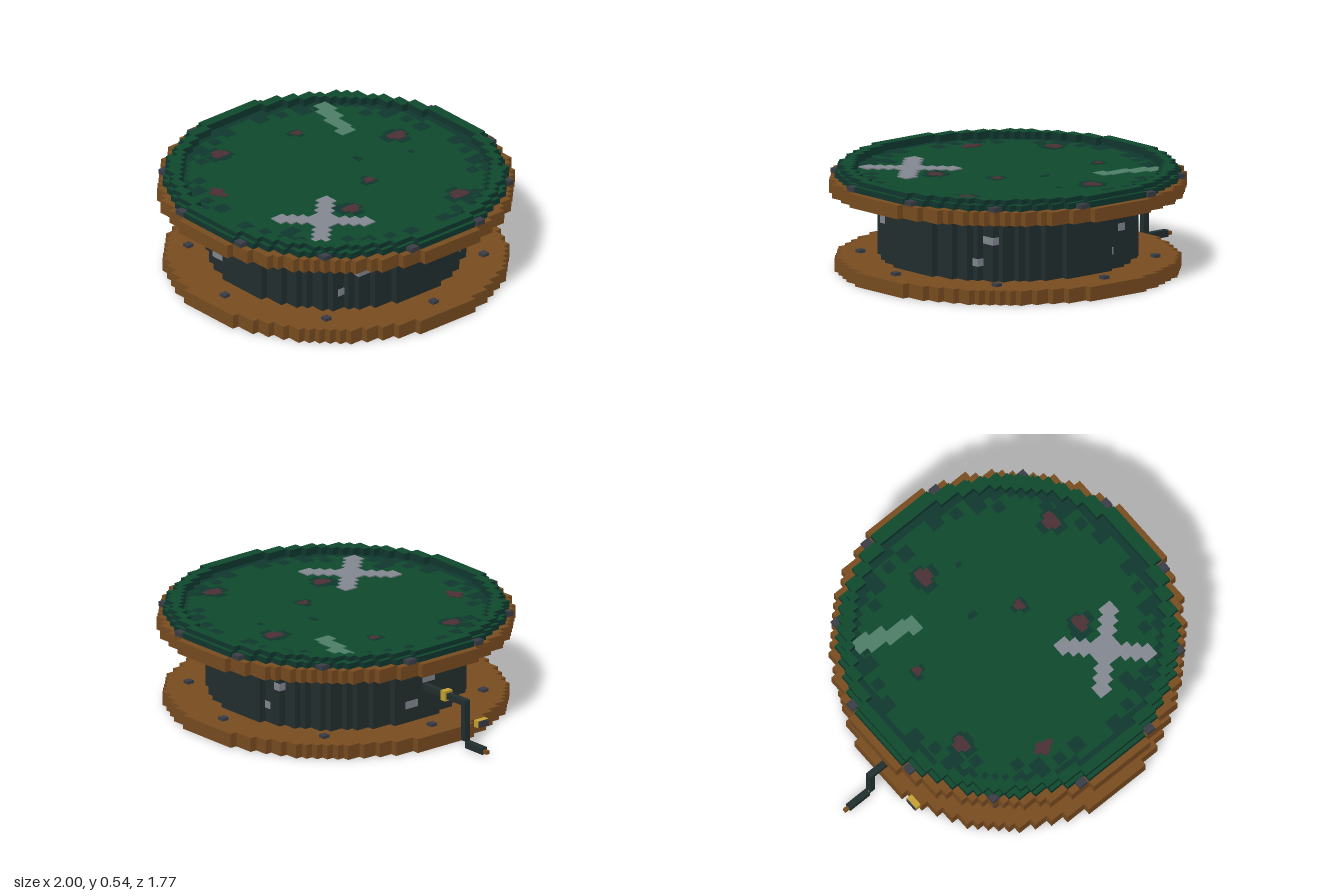
import * as THREE from 'three';
import { mergeGeometries } from 'three/addons/utils/BufferGeometryUtils.js';

const V = 0.0369;   // cell size of the stepped outlines
const CX = 0.115;   // the drum stands off-centre because of the crank

function material(name, color) {
  const m = new THREE.MeshStandardMaterial({ color });
  m.name = name;
  return m;
}

// Stepped circle of n cells radius, as outline points
function steppedCircle(n, cell) {
  const quarter = [];
  for (let j = 0; j < n; j++) {
    const w = Math.floor(Math.sqrt(n * n - (j + 0.5) ** 2) + 0.5);
    quarter.push([w, j], [w, j + 1]);
  }
  const back = [...quarter].reverse();
  const raw = [
    ...quarter,
    ...back.map(([x, y]) => [-x, y]),
    ...quarter.map(([x, y]) => [-x, -y]),
    ...back.map(([x, y]) => [x, -y]),
  ];
  return raw
    .filter((p, i) => i === 0 || p[0] !== raw[i - 1][0] || p[1] !== raw[i - 1][1])
    .filter((p, i, a) => {
      const q = a[(i + a.length - 1) % a.length], r = a[(i + 1) % a.length];
      return !((p[0] === q[0] && p[0] === r[0]) || (p[1] === q[1] && p[1] === r[1]));
    })
    .map(([x, y]) => new THREE.Vector2(x * cell, y * cell));
}

export function createModel() {
  const root = new THREE.Group();
  root.name = 'crankDrum';

  const wood = material('brown wood', 0x7a4d20);
  const green = material('green felt', 0x0f4a2d);
  const teal = material('dark teal', 0x10382f);
  const iron = material('dark iron', 0x232f2f);
  const grey = material('pale grey', 0x858992);
  const red = material('dull red', 0x4b3135);
  const bolt = material('bolt grey', 0x3b3e47);
  const gold = material('gold', 0xc9a233);
  const streak = material('pale green', 0x4f8069);

  function add(name, geometry, mat) {
    const mesh = new THREE.Mesh(geometry, mat);
    mesh.name = name;
    root.add(mesh);
    return mesh;
  }

  // Stepped disc or ring between two heights
  function disc(name, n, y0, y1, mat, { cell = V, hole = 0 } = {}) {
    const shape = new THREE.Shape(steppedCircle(n, cell));
    if (hole) shape.holes.push(new THREE.Path(steppedCircle(hole, V)));
    const g = new THREE.ExtrudeGeometry(shape, { depth: y1 - y0, bevelEnabled: false });
    g.rotateX(-Math.PI / 2).translate(CX, y0, 0);
    return add(name, g, mat);
  }

  const boxGeo = (x, y, z, w, h, d) => new THREE.BoxGeometry(w, h, d).translate(x, y, z);
  const box = (name, mat, ...dims) => add(name, boxGeo(...dims), mat);

  // Flat painted rectangles [x, z, width, depth] on the drum skin
  const paint = (name, mat, top, rects) =>
    add(name, mergeGeometries(rects.map(([x, z, w, d]) => boxGeo(x, top - 0.003, z, w, 0.006, d))), mat);

  // Main stack
  disc('basePlate', 23, 0, 0.073, wood);
  disc('drumBody', 17, 0.073, 0.41, iron);
  disc('topPlate', 24, 0.41, 0.48, wood);
  disc('lowerRim', 23, 0.48, 0.51, [green, teal], { hole: 21 });
  disc('upperRim', 22, 0.51, 0.535, [green, teal], { hole: 21, cell: V * 22.45 / 22 });
  disc('skinBorder', 21, 0.48, 0.497, teal);
  disc('skin', 20, 0.497, 0.5, green);

  // Ragged dark edge of the skin
  const ragged = [];
  for (let i = 0; i < 40; i++) {
    const a = (i / 40) * Math.PI * 2;
    const r = 0.715 - 0.012 * (i % 3);
    const s = 0.055 + 0.018 * (i % 2);
    if (i % 5 !== 0) {
      ragged.push([CX + Math.round(r * Math.cos(a) / V) * V, Math.round(r * Math.sin(a) / V) * V, s, s]);
    }
  }
  paint('raggedEdge', teal, 0.501, ragged);

  // Stains: red spots on dark blots
  const stains = [
    [0, -0.51, 0.075], [0.67, -0.33, 0.075], [-0.35, -0.15, 0.04], [0.26, -0.09, 0.045],
    [0.44, 0.18, 0.07], [-0.44, 0.29, 0.07], [-0.13, 0.57, 0.06],
  ];
  const blots = [[0.17, -0.45, 0.03, 0.025], [0.05, -0.2, 0.05, 0.03], [0.42, 0.57, 0.06, 0.09], [0.39, 0.22, 0.06, 0.06]];
  const spots = [];
  stains.forEach(([x, z, s], i) => {
    const k = i % 2 ? 1 : -1;
    spots.push([x, z, s, s * 0.8], [x + 0.01 * k, z, s * 0.6, s * 1.3]);
    if (i < 6) blots.push([x, z, s * 1.9, s * 0.9], [x + 0.015 * k, z + 0.01, s, s * 1.9]);
  });
  spots.push([-0.13, 0.565, 0.11, 0.03]);
  paint('darkBlots', teal, 0.502, blots);
  paint('redSpots', red, 0.504, spots);

  // Pale scuff and crossed repair patch
  paint('scuff', streak, 0.503, [
    [-0.465, -0.44, 0.1, 0.075], [-0.4, -0.41, 0.13, 0.08],
    [-0.3, -0.375, 0.14, 0.07], [-0.215, -0.35, 0.065, 0.09],
  ]);
  const cross = [];
  for (let i = -4; i <= 4; i++) {
    for (const s of [1, -1]) cross.push([0.44 + i * V, 0.37 + s * i * V, 0.074, 0.074]);
  }
  paint('crossPatch', grey, 0.506, cross);

  // Worn patches stepping round the drum wall
  const worn = [];
  for (let k = 0; k < 5; k++) {
    for (let j = 0; j < 3; j++) {
      const centre = 21.6 + 8.5 * j + 72 * k;
      for (let cx = -16.5; cx < 17; cx++) {
        for (let cz = -16.5; cz < 17; cz++) {
          const r = Math.hypot(cx, cz);
          const a = THREE.MathUtils.radToDeg(Math.atan2(cz, cx));
          const off = Math.abs(((a - centre + 900) % 360) - 180);
          if (r > 15.6 && r <= 17 && off < 3) {
            worn.push(boxGeo(CX + cx * V, [0.39, 0.28, 0.165][j], cz * V, V + 0.006, 0.038, V + 0.006));
          }
        }
      }
    }
  }
  add('wornPatches', mergeGeometries(worn), grey);

  // Bolts on both plates
  const ringOfBolts = (name, count, start, r, y, w, h) => {
    for (let i = 0; i < count; i++) {
      const a = start + (i / count) * Math.PI * 2;
      box(name, bolt, CX + r * Math.cos(a), y + h / 2, r * Math.sin(a), w, h, w);
    }
  };
  ringOfBolts('topBolt', 12, Math.PI / 12, 0.855, 0.48, 0.05, 0.024);
  ringOfBolts('baseBolt', 8, 0, 0.74, 0.073, 0.037, 0.016);

  // Crank on the drum's right side
  const Z = 0.05;
  box('crankAxle', iron, -0.67, 0.24, Z, 0.34, 0.03, 0.033);
  box('crankArm', iron, -0.827, 0.147, Z, 0.031, 0.215, 0.033);
  box('crankGrip', iron, -0.908, 0.022, Z, 0.13, 0.035, 0.033);
  box('gripTip', wood, -0.986, 0.02, Z, 0.028, 0.018, 0.02);
  box('axleCollar', gold, -0.68, 0.24, Z, 0.034, 0.053, 0.05);

  // Small clasp on the base edge
  box('clasp', gold, -0.697, 0.054, 0.25, 0.064, 0.036, 0.07);
  box('claspPlate', bolt, -0.73, 0.054, 0.25, 0.005, 0.034, 0.066);

  return root;
}
